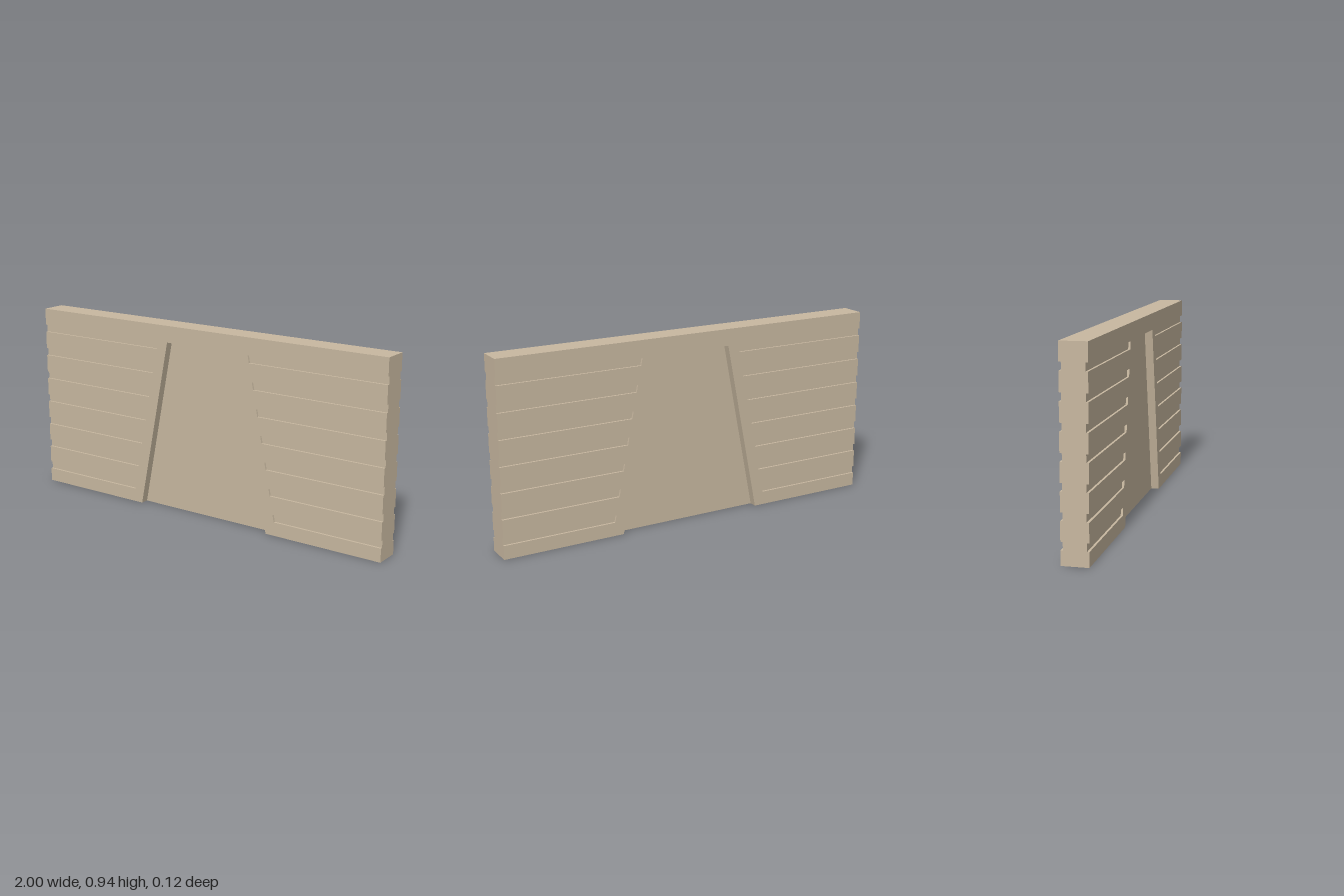
import * as THREE from 'three';

const H = 0.945;            // wall height
const HALF = 0.0625;        // half thickness
const GROOVE = 0.0105;      // groove depth
const RECESS = 0.04;        // doorway recess depth
const CX = 0.008;           // doorway centre
const DOOR_TOP = 0.862;
const grooveBottoms = Array.from({ length: 7 }, (_, i) => 0.068 + i * 0.1258);
const GROOVE_H = 0.037;

// Half width of the tapering doorway at height y
const doorHalf = (y) => 0.378 - 0.199 * y;

// Wall outline with the doorway cut out and, optionally, grooves cut in from both ends
function wallShape(grooved) {
  const pts = [[-1, 0], [CX - doorHalf(0), 0], [CX - doorHalf(DOOR_TOP), DOOR_TOP],
    [CX + doorHalf(DOOR_TOP), DOOR_TOP], [CX + doorHalf(0), 0], [1, 0]];
  const notch = (side, y) => {
    const inner = (h) => CX + side * (doorHalf(h) + 0.058);
    const t = y + GROOVE_H;
    const p = [[side, y], [inner(y), y], [inner(t), t], [side, t]];
    return side > 0 ? p : p.reverse();
  };
  if (grooved) grooveBottoms.forEach((y) => pts.push(...notch(1, y)));
  pts.push([1, H], [-1, H]);
  if (grooved) [...grooveBottoms].reverse().forEach((y) => pts.push(...notch(-1, y)));
  return new THREE.Shape(pts.map(([x, y]) => new THREE.Vector2(x, y)));
}

export function createModel() {
  const group = new THREE.Group();
  group.name = 'wallPanel';
  const stone = new THREE.MeshStandardMaterial({ color: 0xc8b8a0 });
  stone.name = 'sandstone';

  const add = (name, geometry, z) => {
    const mesh = new THREE.Mesh(geometry, stone);
    mesh.name = name;
    mesh.position.z = z;
    group.add(mesh);
    return mesh;
  };

  // Core slab, forming the back of the doorway recess
  const core = HALF - RECESS;
  add('core', new THREE.BoxGeometry(2, H, core * 2), 0).position.y = H / 2;

  // Front and back: a plain layer framing the doorway, then a grooved facing
  const layer = (grooved, depth) =>
    new THREE.ExtrudeGeometry(wallShape(grooved), { depth, bevelEnabled: false });
  const frame = layer(false, RECESS - GROOVE);
  const facing = layer(true, GROOVE);
  add('frontFrame', frame, core);
  add('frontFacing', facing, HALF - GROOVE);
  add('backFrame', frame, -HALF + GROOVE);
  add('backFacing', facing, -HALF);

  return group;
}
